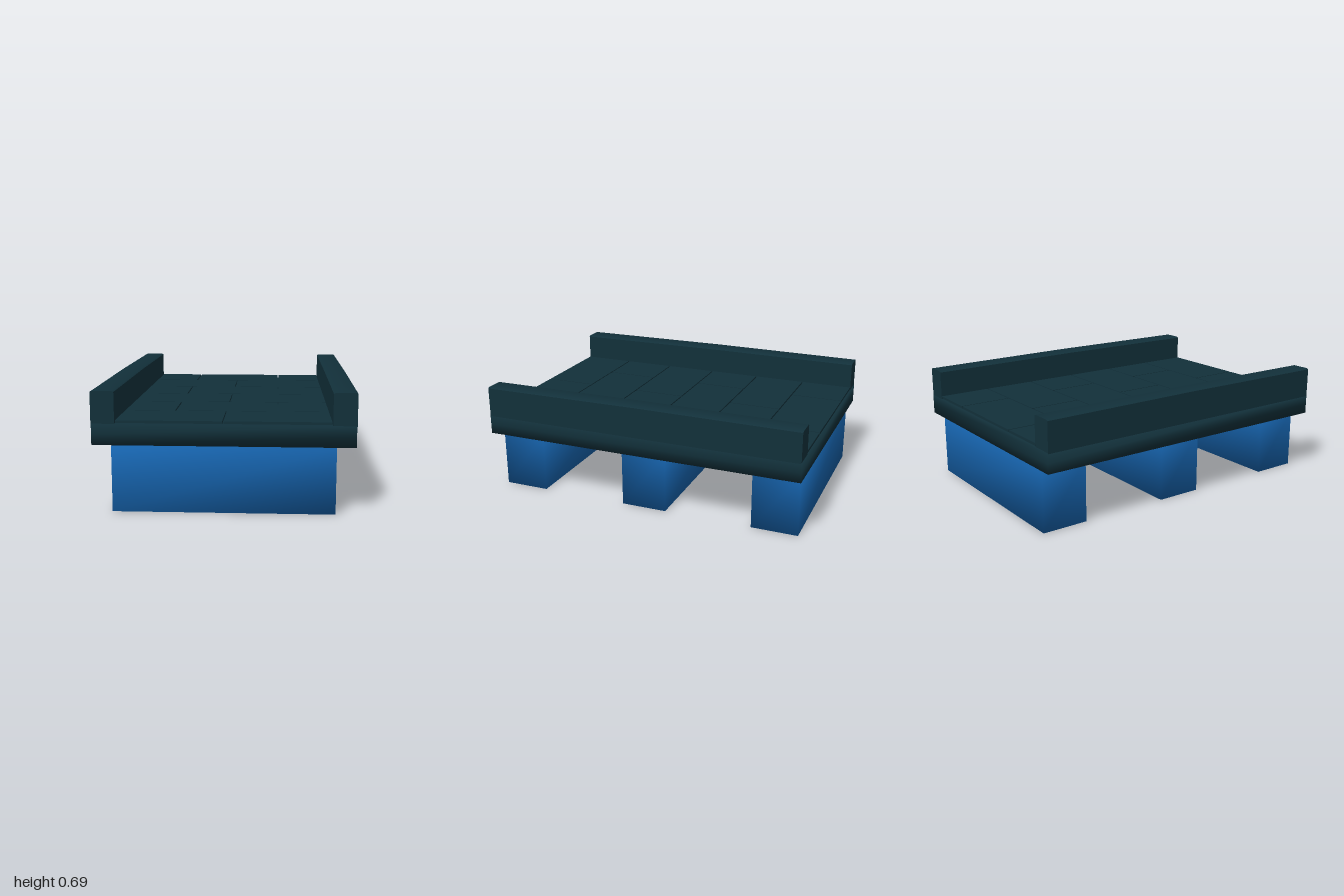
import * as THREE from 'three';
import { mergeVertices, toCreasedNormals } from 'three/addons/utils/BufferGeometryUtils.js';

const stone = new THREE.MeshStandardMaterial({ color: 0x12303a });
const blue = new THREE.MeshStandardMaterial({ color: 0x1560a8 });

// Box whose faces share their corner normals, for soft shading
function softBox(w, h, d, hSegments = 1) {
  const box = new THREE.BoxGeometry(w, h, d, 1, hSegments, 1);
  box.deleteAttribute('normal');
  box.deleteAttribute('uv');
  const soft = mergeVertices(box);
  soft.computeVertexNormals();
  return soft;
}

function addMesh(parent, name, geometry, material, x, y, z) {
  const mesh = new THREE.Mesh(geometry, material);
  mesh.name = name;
  mesh.position.set(x, y, z);
  parent.add(mesh);
  return mesh;
}

// Parapet with bevelled top edges that rises slightly towards mid-span
function parapetGeometry(side) {
  const profile = [
    [0.6, 0.5], [0.732, 0.5], [0.732, 0.682], [0.722, 0.688], [0.612, 0.688], [0.6, 0.682],
  ];
  const shape = new THREE.Shape(profile.map(([x, y]) => new THREE.Vector2(side * x, y)));
  const geometry = new THREE.ExtrudeGeometry(shape, { depth: 1.995, steps: 8, bevelEnabled: false });
  geometry.translate(0, 0, -0.9975);
  const p = geometry.attributes.position;
  for (let i = 0; i < p.count; i++) {
    if (p.getY(i) > 0.6) p.setY(i, p.getY(i) + 0.005 * (1 - Math.abs(p.getZ(i))));
  }
  return toCreasedNormals(geometry, 0.6);
}

export function createModel() {
  const model = new THREE.Group();
  model.name = 'bridgeSection';

  // Three cross beams under the deck
  const beam = softBox(1.25, 0.375, 0.285);
  for (const z of [-0.833, 0, 0.835]) addMesh(model, 'supportBeam', beam, blue, 0, 0.1875, z);

  // Main slab, floating just above the beams
  addMesh(model, 'deck', softBox(1.46, 0.12, 2, 2), stone, 0, 0.445, 0);

  // Paving in six rows with staggered joints
  const paving = new THREE.Group();
  paving.name = 'paving';
  model.add(paving);
  const rowDepth = 2 / 6, gap = 0.008;
  for (let row = 0; row < 6; row++) {
    const joints = row % 2 ? [-0.6, 0, 0.6] : [-0.6, -0.3, 0.3, 0.6];
    for (let i = 0; i < joints.length - 1; i++) {
      const width = joints[i + 1] - joints[i];
      const slab = new THREE.BoxGeometry(width - gap, 0.015, rowDepth - gap);
      addMesh(paving, 'pavingSlab', slab, stone,
        joints[i] + width / 2, 0.5175, -1 + (row + 0.5) * rowDepth);
    }
  }

  // Parapets along both long edges
  for (const side of [-1, 1]) {
    addMesh(model, side > 0 ? 'leftParapet' : 'rightParapet', parapetGeometry(side), stone, 0, 0, 0);
  }
  return model;
}
